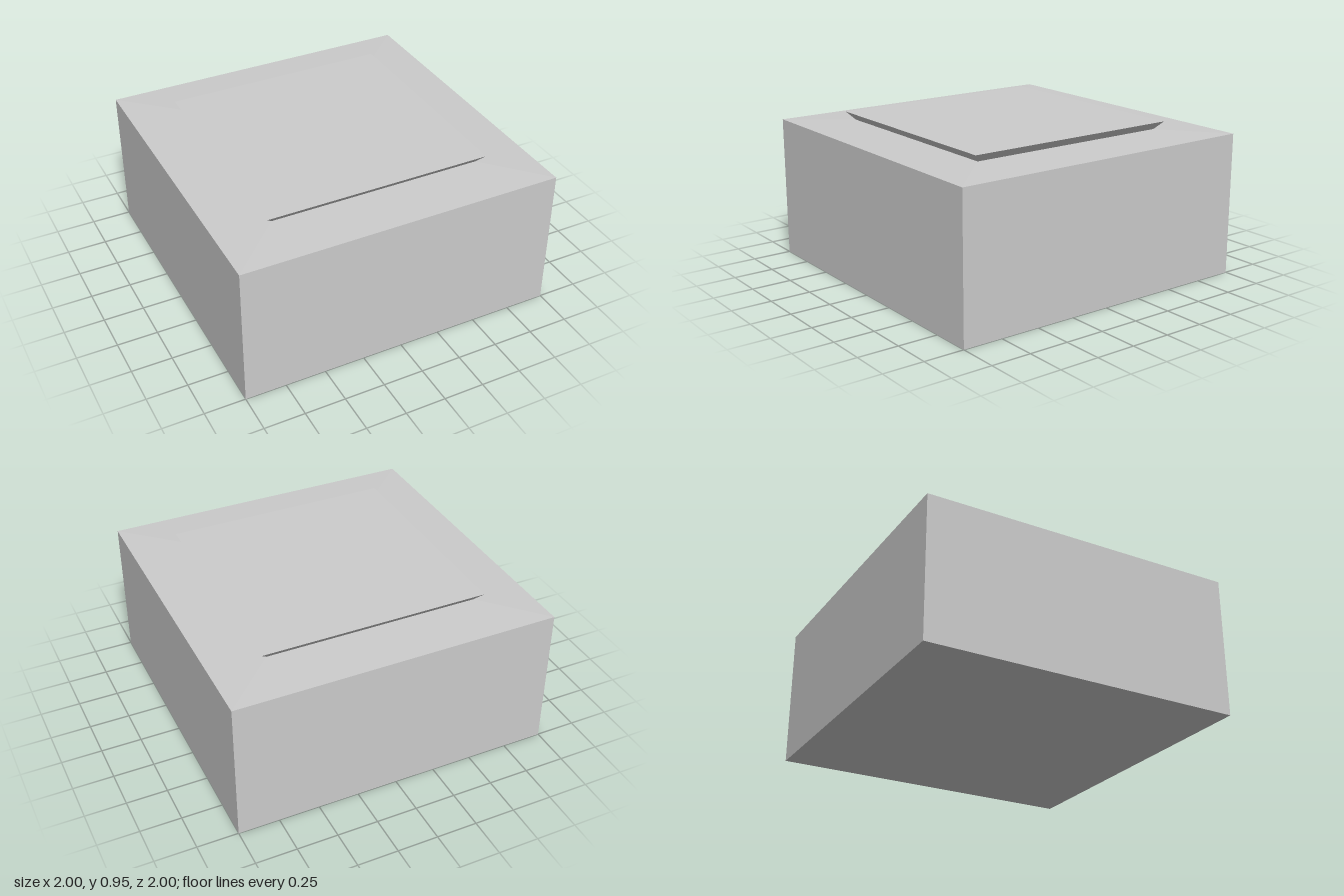
import * as THREE from 'three';

const material = new THREE.MeshStandardMaterial({ color: 0xcccccc, flatShading: true });

// Square solid from a profile of [half width, height] points, bottom to top
function squareLathe(name, profile) {
  const points = profile.map(([half, y]) => new THREE.Vector2(half * Math.SQRT2, y));
  const geometry = new THREE.LatheGeometry(points, 4, Math.PI / 4).toNonIndexed();
  geometry.computeVertexNormals();
  const mesh = new THREE.Mesh(geometry, material);
  mesh.name = name;
  return mesh;
}

export function createModel() {
  const group = new THREE.Group();
  group.name = 'squareBlock';

  // Block with a closed base and a gently rising shoulder
  group.add(squareLathe('body', [[0, 0], [1, 0], [1, 0.89], [0.66, 0.903]]));

  // Flat cap whose sides flare outwards to the top
  group.add(squareLathe('flaredCap', [[0.66, 0.903], [0.705, 0.953], [0, 0.953]]));

  return group;
}
